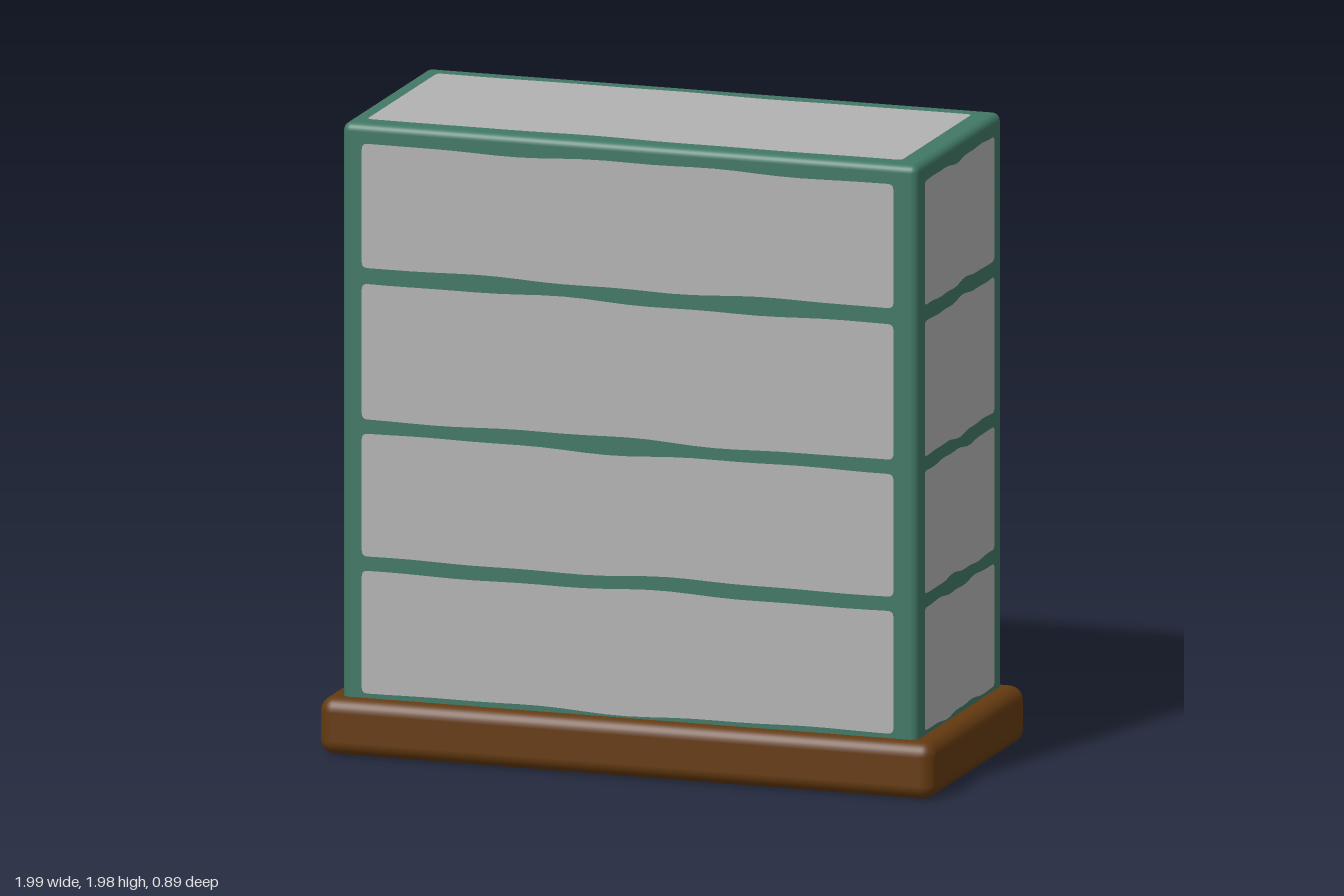
import * as THREE from 'three';
import { RoundedBoxGeometry } from 'three/addons/geometries/RoundedBoxGeometry.js';

const material = (name, color, extra = {}) => {
  const m = new THREE.MeshStandardMaterial({ color, ...extra });
  m.name = name;
  return m;
};

// Flat panel with small rounded corners and slightly uneven hand-cut long edges
function panelGeometry(x0, x1, y0, y1, seed) {
  const r = 0.018, steps = 24, s = new THREE.Shape();
  const wobble = (t, k) => 0.006 * Math.sin(Math.PI * t) *
    (Math.sin(t * 9 + seed * 2.1 + k) + 0.5 * Math.sin(t * 23 + seed + k));
  const edge = (from, to, y, k) => {
    for (let i = 0; i <= steps; i++) {
      const t = i / steps;
      s.lineTo(from + (to - from) * t, y + wobble(t, k));
    }
  };
  s.moveTo(x0 + r, y0);
  edge(x0 + r, x1 - r, y0, 0);
  s.quadraticCurveTo(x1, y0, x1, y0 + r);
  s.lineTo(x1, y1 - r);
  s.quadraticCurveTo(x1, y1, x1 - r, y1);
  edge(x1 - r, x0 + r, y1, 4);
  s.quadraticCurveTo(x0, y1, x0, y1 - r);
  s.lineTo(x0, y0 + r);
  s.quadraticCurveTo(x0, y0, x0 + r, y0);
  return new THREE.ShapeGeometry(s, 4);
}

export function createModel() {
  const model = new THREE.Group();
  model.name = 'panelledCabinet';
  const wood = material('brownWood', 0x643a10);
  const green = material('greenFrame', 0x417865);
  const grey = material('greyPanel', 0xb2b2b2);

  const add = (name, geometry, mat) => {
    const mesh = new THREE.Mesh(geometry, mat);
    mesh.name = name;
    model.add(mesh);
    return mesh;
  };

  // Plinth
  add('base', new RoundedBoxGeometry(1.99, 0.18, 0.89, 4, 0.045), wood).position.y = 0.09;

  // Upright body whose surface shows as the frame
  const bottom = 0.12, top = 1.98;
  add('frame', new RoundedBoxGeometry(1.86, top - bottom, 0.8, 4, 0.025), green)
    .position.y = (bottom + top) / 2;

  // Four rows of panels on each upright face
  const rows = [[0.195, 0.58], [0.625, 1.01], [1.055, 1.48], [1.53, 1.92]];
  const lift = 0.003;
  const sides = [
    { name: 'front', turn: 0, out: 0.4, x0: -0.865, x1: 0.855 },
    { name: 'left', turn: Math.PI / 2, out: 0.93, x0: -0.335, x1: 0.32 },
    { name: 'back', turn: Math.PI, out: 0.4, x0: -0.86, x1: 0.86 },
    { name: 'right', turn: -Math.PI / 2, out: 0.93, x0: -0.325, x1: 0.335 },
  ];
  sides.forEach(({ name, turn, out, x0, x1 }, k) => {
    rows.forEach(([y0, y1], i) => {
      const g = panelGeometry(x0, x1, y0, y1, k * 4 + i);
      g.translate(0, 0, out + lift);
      add(`${name}Panel${i + 1}`, g, grey).rotation.y = turn;
    });
  });

  // Top panel
  const lid = panelGeometry(-0.87, 0.86, -0.34, 0.32, 17);
  lid.rotateX(-Math.PI / 2);
  add('topPanel', lid, grey).position.y = top + lift;

  return model;
}
